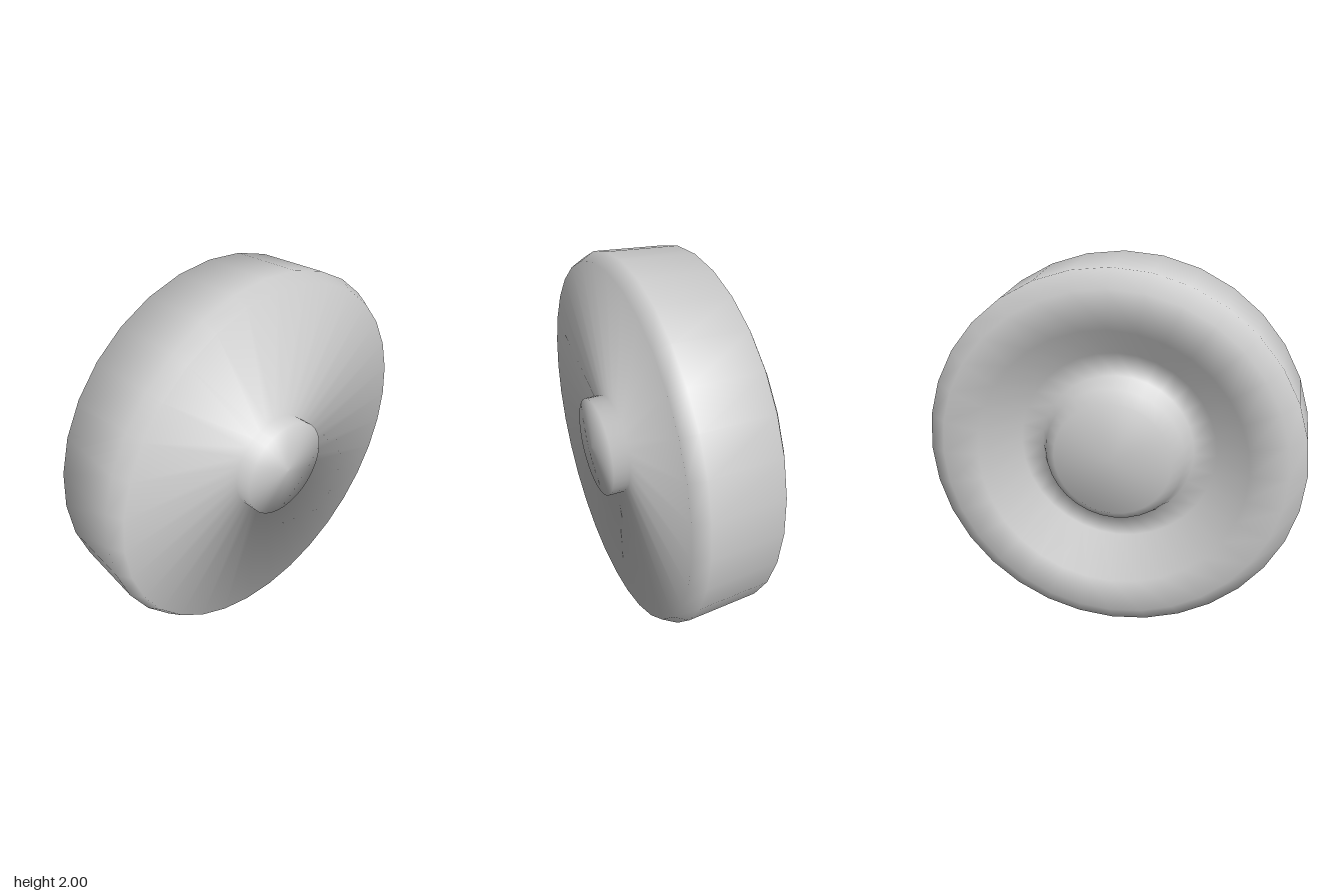
import * as THREE from 'three';

const SIDES = 32;

// Revolve a [radius, x] profile around the x axis; every ring shares one soft
// normal, halfway between the two slopes that meet there
function revolve(name, profile, material) {
  const points = profile.map(([r, x]) => new THREE.Vector2(r, x));
  const slopes = points.slice(1).map((p, i) => {
    const d = p.clone().sub(points[i]).normalize();
    return new THREE.Vector2(d.y, -d.x);
  });
  const geometry = new THREE.LatheGeometry(points, SIDES);
  const normals = geometry.attributes.normal;
  for (let i = 0; i <= SIDES; i++) {
    const a = (i / SIDES) * Math.PI * 2;
    points.forEach((_, j) => {
      const before = slopes[Math.max(j - 1, 0)];
      const after = slopes[Math.min(j, slopes.length - 1)];
      const n = before.clone().add(after).normalize();
      normals.setXYZ(i * points.length + j, n.x * Math.sin(a), n.y, n.x * Math.cos(a));
    });
  }
  geometry.rotateZ(-Math.PI / 2);
  const mesh = new THREE.Mesh(geometry, material);
  mesh.name = name;
  mesh.position.y = 1;
  return mesh;
}

export function createModel() {
  const grey = new THREE.MeshStandardMaterial({ color: 0xcccccc });
  grey.name = 'light grey';
  const group = new THREE.Group();
  group.name = 'wheel';

  group.add(revolve('wheelBody', [
    [0, -0.25], [0.31, -0.25], [0.37, -0.19], [0.41, -0.1], // inner boss
    [0.53, -0.1], [0.7, -0.312],                            // ring groove
    [0.89, -0.315], [0.98, -0.26], [1, 0.12], [0.96, 0.195], // tread
    [0.267, 0.197], [0.267, 0.287], [0, 0.31],              // outer face and domed hub
  ], grey));

  return group;
}
